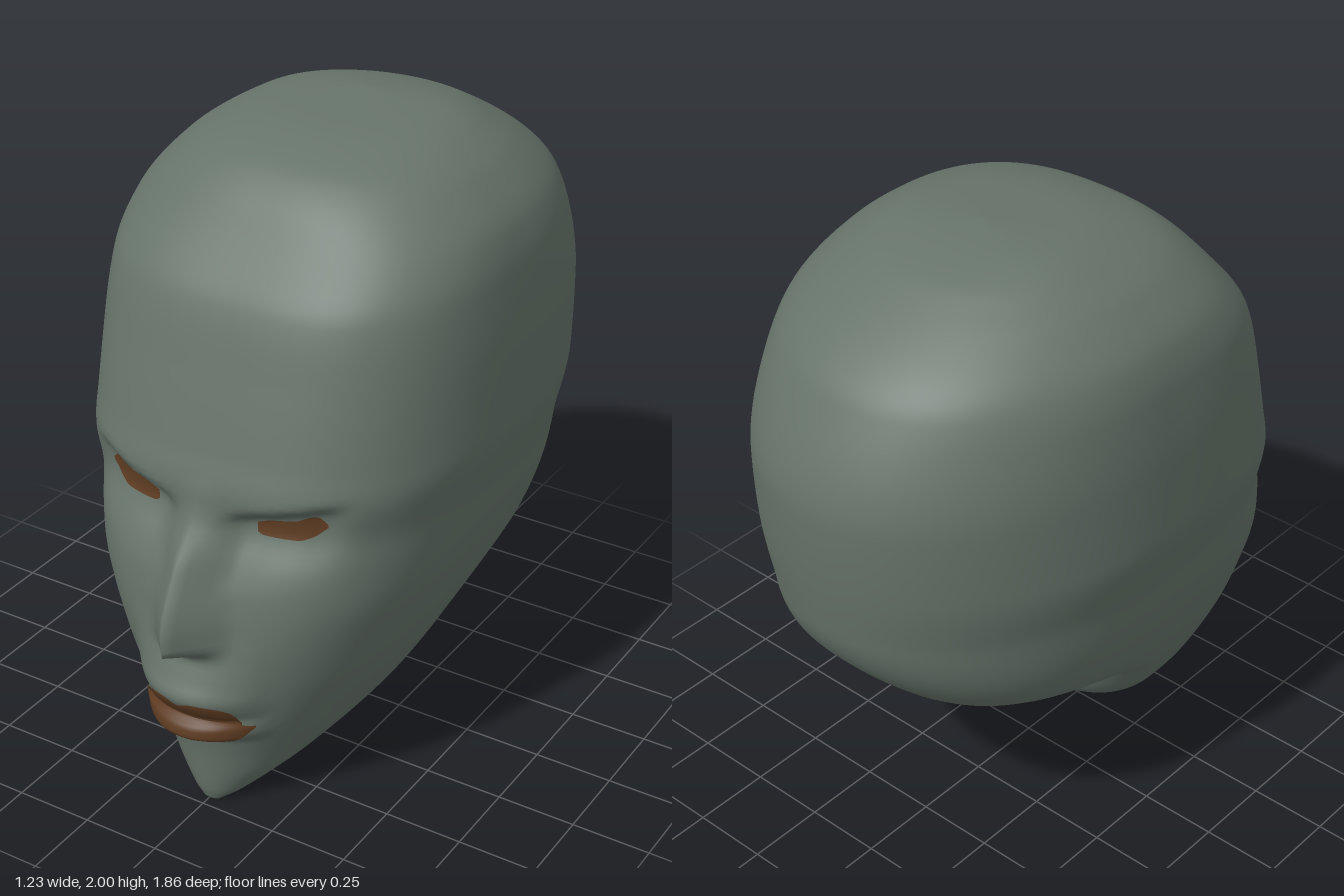
import * as THREE from 'three';

// Monotone cubic curve through [y, value] points
function curve(points) {
  const n = points.length;
  const slope = points.slice(1).map((p, i) => (p[1] - points[i][1]) / (p[0] - points[i][0]));
  const tangent = points.map((p, i) => {
    if (i === 0) return slope[0];
    if (i === n - 1) return slope[n - 2];
    const a = slope[i - 1], b = slope[i];
    return a * b <= 0 ? 0 : (2 * a * b) / (a + b);
  });
  return (y) => {
    if (y <= points[0][0]) return points[0][1];
    if (y >= points[n - 1][0]) return points[n - 1][1];
    let i = 0;
    while (y > points[i + 1][0]) i++;
    const h = points[i + 1][0] - points[i][0];
    const t = (y - points[i][0]) / h, t2 = t * t, t3 = t2 * t;
    return points[i][1] * (2 * t3 - 3 * t2 + 1) + points[i + 1][1] * (3 * t2 - 2 * t3)
      + h * (tangent[i] * (t3 - 2 * t2 + t) + tangent[i + 1] * (t3 - t2));
  };
}

// Horizontal slices: half width, widest depth, front, back and squareness
const width = curve([[0, 0.03], [0.03, 0.085], [0.14, 0.22], [0.3, 0.35], [0.58, 0.49], [0.8, 0.555],
  [0.95, 0.58], [1.16, 0.617], [1.4, 0.615], [1.63, 0.598], [1.74, 0.57], [1.87, 0.47], [1.93, 0.385],
  [1.98, 0.26], [2, 0.01]]);
const middle = curve([[0, 0.7], [0.03, 0.63], [0.09, 0.5], [0.25, 0.25], [0.47, 0.1], [0.68, -0.03],
  [1, -0.1], [1.4, -0.12], [1.9, -0.1], [2, -0.2]]);
const front = curve([[0, 0.715], [0.04, 0.73], [0.2, 0.755], [0.3, 0.775], [0.4, 0.785], [0.58, 0.79],
  [0.7, 0.78], [0.88, 0.75], [1, 0.72], [1.08, 0.725], [1.2, 0.695], [1.4, 0.64], [1.6, 0.575],
  [1.75, 0.46], [1.9, 0.32], [1.97, 0.13], [2, -0.19]]);
const back = curve([[0, 0.69], [0.03, 0.54], [0.09, 0.36], [0.25, 0], [0.45, -0.07], [0.48, -0.1],
  [0.68, -0.7], [0.96, -0.89], [1.38, -0.93], [1.7, -0.81], [1.93, -0.5], [1.98, -0.34], [2, -0.21]]);
const frontPower = curve([[0, 2], [0.3, 2.2], [0.55, 2.6], [0.8, 3], [1.6, 3], [1.9, 2.5], [2, 2]]);
const backPower = curve([[0, 2], [0.3, 2.5], [0.65, 2.5], [1, 2.1], [2, 2.1]]);

// Heights of the nose ridge and the lips above the face
const noseHeight = curve([[0.57, 0], [0.59, 0.03], [0.635, 0.135], [0.7, 0.15], [0.88, 0.1], [1.05, 0.015], [1.12, 0]]);
const noseWidth = curve([[0.58, 0.13], [0.7, 0.14], [0.88, 0.11], [1.05, 0.1]]);
const lipHeight = curve([[0.27, 0], [0.295, 0.02], [0.32, 0.073], [0.35, 0.065], [0.38, 0.035],
  [0.405, 0.055], [0.45, 0.075], [0.5, 0.05], [0.6, 0.01], [0.66, 0]]);
const step = THREE.MathUtils.smoothstep;

// Depth of the face at any point, with nose, lips and eye sockets
function faceDepth(x, y) {
  const a = Math.abs(x), p = frontPower(y), w = width(y);
  const round = Math.pow(Math.max(0, 1 - Math.pow(Math.min(1, a / w), p)), 1 / p);
  let z = middle(y) + (front(y) - middle(y)) * round;
  z += noseHeight(y) * Math.pow(Math.max(0, 1 - a / noseWidth(y)), 1.15);
  z += lipHeight(y) * Math.max(0, 1 - (a / 0.23) ** 2);
  // Sharp slanted brow above a socket that fades into the cheek
  const below = 1.04 + 0.25 * (a - 0.15) - y;
  const span = step(a, 0.06, 0.16) * (1 - step(a, 0.34, 0.46));
  z -= 0.045 * span * step(below, -0.02, 0.03) * (1 - step(below, 0.04, 0.26));
  return z;
}

// Closed skull lofted through the slices
function headGeometry(rows = 150, columns = 128) {
  const positions = [], index = [];
  for (let i = 0; i <= rows; i++) {
    const u = i / rows;
    const y = 2 * (u - 0.5 * Math.sin(2 * Math.PI * u) / (2 * Math.PI));
    const w = width(y), q = backPower(y);
    for (let j = 0; j < columns; j++) {
      const t = (j / columns) * Math.PI * 2;
      const s = Math.sin(t), x = w * s;
      const round = Math.pow(Math.max(0, 1 - Math.pow(Math.abs(s), q)), 1 / q);
      const z = Math.cos(t) >= 0 ? faceDepth(x, y) : middle(y) + (back(y) - middle(y)) * round;
      positions.push(x, y, z);
      if (i === rows) continue;
      const a = i * columns + j, b = i * columns + (j + 1) % columns;
      index.push(a, b, b + columns, a, b + columns, a + columns);
    }
  }
  // Chin and crown caps
  const chin = positions.length / 3, crown = chin + 1, last = rows * columns;
  positions.push(0, 0, 0.702, 0, 2, -0.2);
  for (let j = 0; j < columns; j++) {
    const k = (j + 1) % columns;
    index.push(chin, k, j, crown, last + j, last + k);
  }
  return surface(positions, index);
}

// Thin painted patch following the face between two edge curves
function patchGeometry(x0, x1, bottom, top, columns = 40, rows = 12) {
  const positions = [], index = [];
  for (let i = 0; i <= columns; i++) {
    const x = x0 + (x1 - x0) * (i / columns);
    for (let j = 0; j <= rows; j++) {
      const y = bottom(Math.abs(x)) + (top(Math.abs(x)) - bottom(Math.abs(x))) * (j / rows);
      positions.push(x, y, faceDepth(x, y) + 0.007);
      if (i === columns || j === rows) continue;
      const a = i * (rows + 1) + j, b = a + rows + 1;
      index.push(a, b, b + 1, a, b + 1, a + 1);
    }
  }
  return surface(positions, index);
}

function surface(positions, index) {
  const geometry = new THREE.BufferGeometry();
  geometry.setAttribute('position', new THREE.Float32BufferAttribute(positions, 3));
  geometry.setIndex(index);
  geometry.computeVertexNormals();
  return geometry;
}

export function createModel() {
  const skin = new THREE.MeshStandardMaterial({ color: 0x66736a });
  skin.name = 'grey green skin';
  const brown = new THREE.MeshStandardMaterial({ color: 0x5e3c22 });
  brown.name = 'brown';
  const group = new THREE.Group();
  group.name = 'head';
  const add = (name, geometry, material) => {
    const mesh = new THREE.Mesh(geometry, material);
    mesh.name = name;
    group.add(mesh);
  };

  add('skull', headGeometry(), skin);

  // Lips meet along the mouth line
  const mouthLine = curve([[0, 0.378], [0.1, 0.378], [0.2, 0.36]]);
  const upperEdge = curve([[0, 0.435], [0.05, 0.45], [0.11, 0.445], [0.15, 0.425], [0.165, 0.375]]);
  const lowerEdge = curve([[0, 0.295], [0.1, 0.302], [0.16, 0.32], [0.195, 0.355]]);
  add('upperLip', patchGeometry(-0.165, 0.165, mouthLine, upperEdge), brown);
  add('lowerLip', patchGeometry(-0.195, 0.195, lowerEdge, mouthLine), brown);

  // Slanted eyes
  const eyeTop = curve([[0.17, 1.015], [0.21, 1.03], [0.28, 1.04], [0.34, 1.063], [0.37, 1.04]]);
  const eyeBottom = curve([[0.17, 0.985], [0.19, 0.978], [0.29, 0.98], [0.33, 0.995], [0.37, 1.03]]);
  add('leftEye', patchGeometry(0.17, 0.37, eyeBottom, eyeTop), brown);
  add('rightEye', patchGeometry(-0.37, -0.17, eyeBottom, eyeTop), brown);
  return group;
}
